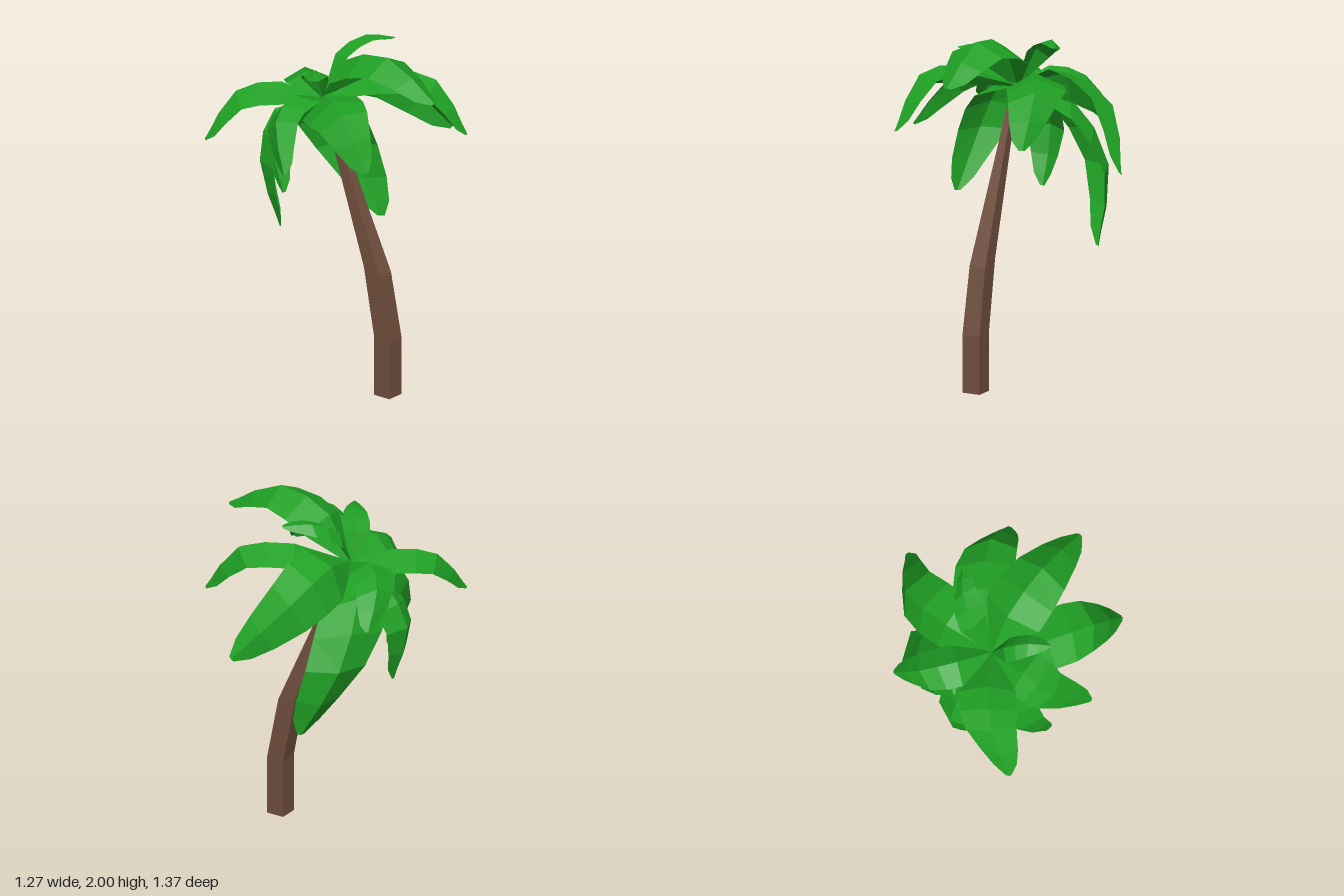
import * as THREE from 'three';

const leafMat = new THREE.MeshStandardMaterial({ color: 0x1fa024, flatShading: true, side: THREE.DoubleSide });
const barkMat = new THREE.MeshStandardMaterial({ color: 0x704f3e, flatShading: true });
const CROWN = new THREE.Vector3(-0.165, 1.65, 0.128);

// Square trunk: each row is centre x, centre y, half width in x, half width in z, tilt
function makeTrunk() {
  const rows = [
    [0.307, 0, 0.054, 0.054, 0],
    [0.307, 0.335, 0.054, 0.054, -0.005],
    [0.231, 0.725, 0.057, 0.049, -0.015],
    [-0.145, 1.65, 0.02, 0.011, 0.006],
  ];
  const geo = new THREE.BoxGeometry(2, 3, 2, 1, 3, 1);
  const pos = geo.attributes.position;
  for (let i = 0; i < pos.count; i++) {
    const [cx, cy, hx, hz, tilt] = rows[Math.round(pos.getY(i) + 1.5)];
    const sx = pos.getX(i);
    pos.setXYZ(i, cx + sx * hx, cy + sx * tilt, CROWN.z + pos.getZ(i) * hz);
  }
  geo.computeVertexNormals();
  const trunk = new THREE.Mesh(geo, barkMat);
  trunk.name = 'trunk';
  return trunk;
}

// Folded frond: a midrib curve from the crown with two edges hanging below it.
// The optional last value is the direction across the blade, for twisted fronds.
function makeFrond(name, halfWidth, shoulder, bend, tip, across) {
  const points = [shoulder, bend, tip].map((p) => new THREE.Vector3(...p));
  const rib = new THREE.CatmullRomCurve3([CROWN, ...points]);
  const out = points[1].clone().sub(CROWN).setY(0);
  const side = across ? new THREE.Vector3(...across) : new THREE.Vector3(0, 1, 0).cross(out);
  side.normalize();
  const sections = [[0, 0.1], [1 / 3, 1], [0.5, 1], [2 / 3, 0.88], [0.84, 0.64], [0.94, 0.4], [1, 0.1]];
  const verts = [], index = [];
  sections.forEach(([t, scale], row) => {
    const p = rib.getPoint(t);
    const normal = rib.getTangent(t).cross(side).normalize();
    const w = halfWidth * scale;
    for (const s of [1, 0, -1]) {
      const v = p.clone().addScaledVector(side, s * w).addScaledVector(normal, -Math.abs(s) * w * 0.48);
      verts.push(v.x, v.y, v.z);
    }
    if (row === 0) return;
    for (let k = 0; k < 2; k++) {
      const a = (row - 1) * 3 + k, b = a + 3;
      index.push(a, a + 1, b, a + 1, b + 1, b);
    }
  });
  const geo = new THREE.BufferGeometry();
  geo.setAttribute('position', new THREE.Float32BufferAttribute(verts, 3));
  geo.setIndex(index);
  geo.computeVertexNormals();
  const frond = new THREE.Mesh(geo, leafMat);
  frond.name = name;
  return frond;
}

export function createModel() {
  const palm = new THREE.Group();
  palm.name = 'palmTree';
  const crown = new THREE.Group();
  crown.name = 'crown';
  crown.add(
    // Raised fronds
    makeFrond('topFrond', 0.18, [-0.02, 1.9, 0.125], [0.3, 1.998, 0.125], [0.64, 1.81, 0.125]),
    makeFrond('smallBackFrond', 0.085, [-0.17, 1.87, 0.01], [-0.08, 1.96, -0.14], [0.05, 1.95, -0.24], [-0.85, -0.35, -0.35]),
    makeFrond('smallFrontFrond', 0.075, [-0.15, 1.81, 0.2], [-0.07, 1.885, 0.31], [0, 1.87, 0.41]),
    // Spreading fronds
    makeFrond('backLeftFrond', 0.165, [0.06, 1.795, -0.11], [0.33, 1.76, -0.26], [0.53, 1.48, -0.29]),
    makeFrond('frontLeftFrond', 0.165, [0.04, 1.78, 0.36], [0.28, 1.76, 0.5], [0.49, 1.48, 0.54], [0.55, 0.35, -0.75]),
    makeFrond('backFrond', 0.18, [-0.22, 1.74, -0.15], [-0.16, 1.61, -0.48], [0.1, 1.3, -0.68], [-0.72, -0.69, 0]),
    makeFrond('frontFrond', 0.135, [-0.18, 1.73, 0.36], [-0.15, 1.63, 0.55], [0.02, 1.4, 0.685], [0.9, 0.4, 0]),
    makeFrond('frontRightFrond', 0.16, [-0.36, 1.73, 0.25], [-0.545, 1.68, 0.42], [-0.62, 1.43, 0.6]),
    makeFrond('backRightFrond', 0.125, [-0.35, 1.73, 0.03], [-0.5, 1.66, -0.12], [-0.54, 1.47, -0.27]),
    // Hanging fronds
    makeFrond('rightHangingFrond', 0.135, [-0.38, 1.58, 0.125], [-0.54, 1.34, 0.125], [-0.45, 1.01, 0.125]),
    makeFrond('backHangingFrond', 0.195, [-0.36, 1.56, -0.1], [-0.385, 1.2, -0.33], [-0.17, 0.79, -0.385], [-0.67, 0, 0.74]),
    makeFrond('frontHangingFrond', 0.16, [-0.34, 1.6, 0.33], [-0.34, 1.33, 0.46], [-0.16, 1.0, 0.505], [0.66, 0, 0.75]),
  );
  palm.add(makeTrunk(), crown);
  return palm;
}
